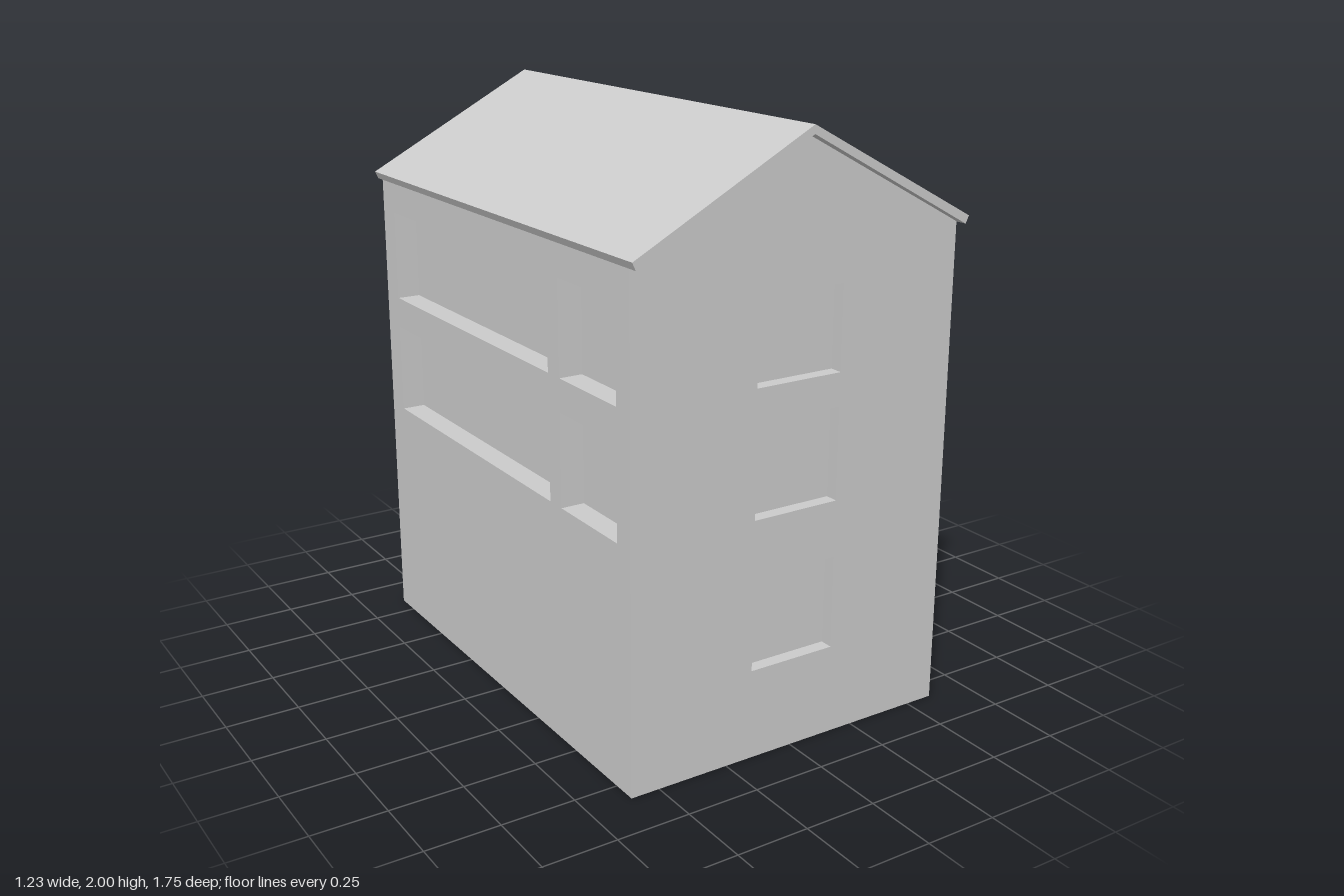
import * as THREE from 'three';
import { mergeGeometries } from 'three/addons/utils/BufferGeometryUtils.js';

const material = new THREE.MeshStandardMaterial({ color: 0xcccccc, side: THREE.DoubleSide });
const HALF_W = 0.6, EAVE = 1.65, APEX = 1.97, FRONT = 0.835, BACK = -0.842;

function addMesh(parent, name, geometry) {
  const mesh = new THREE.Mesh(geometry, material);
  mesh.name = name;
  parent.add(mesh);
}

const polygon = (points) => points.map(([x, y]) => new THREE.Vector2(x, y));

// Blind window: four reveals and a pane set back behind the wall face (z = 0)
function windowRecess([x0, x1, y0, y1], depth) {
  const w = x1 - x0, h = y1 - y0, cx = (x0 + x1) / 2, cy = (y0 + y1) / 2;
  const reveal = (x, width, rotate, y) => rotate(new THREE.PlaneGeometry(...width)).translate(x, y, -depth / 2);
  return mergeGeometries([
    new THREE.PlaneGeometry(w, h).translate(cx, cy, -depth),
    reveal(x0, [depth, h], (g) => g.rotateY(Math.PI / 2), cy),
    reveal(x1, [depth, h], (g) => g.rotateY(-Math.PI / 2), cy),
    reveal(cx, [w, depth], (g) => g.rotateX(-Math.PI / 2), y0),
    reveal(cx, [w, depth], (g) => g.rotateX(Math.PI / 2), y1),
  ]);
}

// Thin wall facing local +z, pierced by recessed windows
function wall(name, outline, windows = [], depth = 0) {
  const group = new THREE.Group();
  group.name = name;
  const shape = new THREE.Shape(polygon(outline));
  for (const [x0, x1, y0, y1] of windows) {
    shape.holes.push(new THREE.Path(polygon([[x0, y0], [x0, y1], [x1, y1], [x1, y0]])));
  }
  addMesh(group, name + 'Face', new THREE.ShapeGeometry(shape));
  windows.forEach((win, i) => addMesh(group, `${name}Window${i + 1}`, windowRecess(win, depth)));
  return group;
}

export function createModel() {
  const model = new THREE.Group();
  model.name = 'house';

  // Gable walls, each with a column of three windows
  const gable = [[-HALF_W, 0], [HALF_W, 0], [HALF_W, EAVE], [0, APEX], [-HALF_W, EAVE]];
  const gableWindows = [[0.305, 0.62], [0.81, 1.12], [1.23, 1.51]].map(([y0, y1]) => [-0.157, 0.157, y0, y1]);
  const front = wall('frontWall', gable, gableWindows, 0.045);
  front.position.z = FRONT;
  const back = wall('backWall', gable, gableWindows, 0.045);
  back.rotation.y = Math.PI;
  back.position.z = BACK;

  // Right wall: a wide and a narrow window on two storeys
  const sideWindows = [];
  for (const [y0, y1] of [[0.81, 1.12], [1.23, 1.54]]) {
    sideWindows.push([-0.75, 0.36, y0, y1], [0.43, 0.76, y0, y1]);
  }
  const right = wall('rightWall', [[BACK, 0], [FRONT, 0], [FRONT, EAVE], [BACK, EAVE]], sideWindows, 0.08);
  right.rotation.y = -Math.PI / 2;
  right.position.x = -HALF_W;

  // Plain left wall
  const left = wall('leftWall', [[-FRONT, 0], [-BACK, 0], [-BACK, EAVE], [-FRONT, EAVE]]);
  left.rotation.y = Math.PI / 2;
  left.position.x = HALF_W;

  model.add(front, back, right, left);

  // Thin pitched roof overhanging the gables
  const section = [[-0.615, 1.673], [-0.603, 1.648], [0, 1.972], [0.603, 1.648], [0.615, 1.673], [0, 2]];
  const roof = new THREE.ExtrudeGeometry(new THREE.Shape(polygon(section)), { depth: 1.746, bevelEnabled: false });
  addMesh(model, 'roof', roof.translate(0, 0, -0.873));

  return model;
}
